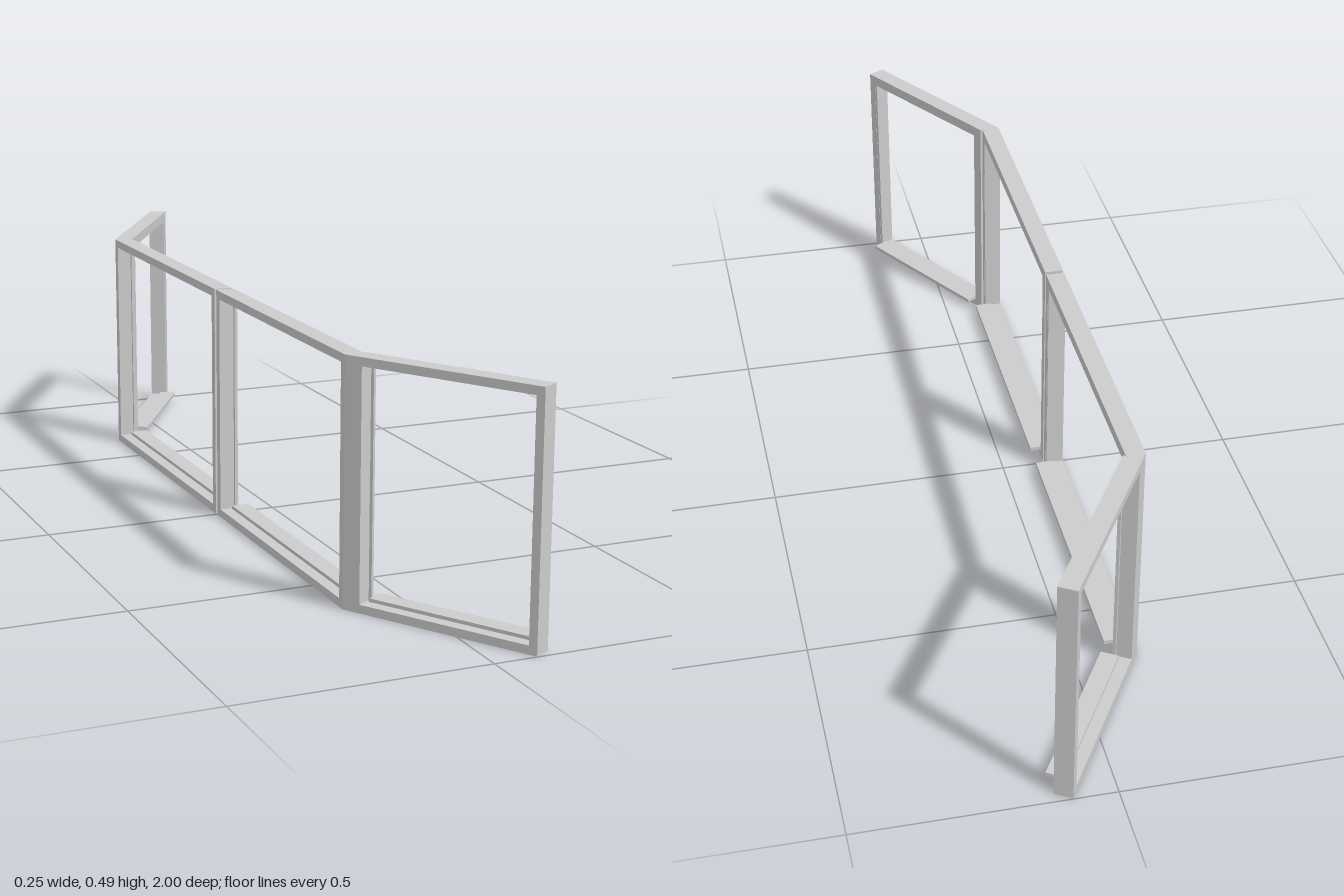
import * as THREE from 'three';

const H = 0.487;      // frame height
const DEPTH = 0.038;  // frame depth
const BAR = 0.017;    // visible bar width
const LIP = 0.006;    // extra width of the inner stop
const SILL_Y = 0.016;

const mat = new THREE.MeshStandardMaterial({ color: 0xcccccc, flatShading: true });

function rect(target, x0, y0, x1, y1) {
  target.moveTo(x0, y0);
  target.lineTo(x1, y0);
  target.lineTo(x1, y1);
  target.lineTo(x0, y1);
  target.closePath();
  return target;
}

function mesh(name, geometry) {
  const m = new THREE.Mesh(geometry, mat);
  m.name = name;
  return m;
}

// Rectangular ring of the given length, extruded from depth z0 to z1
function ring(length, inset, border, z0, z1) {
  const shape = rect(new THREE.Shape(), inset, inset, length - inset, H - inset);
  shape.holes.push(rect(new THREE.Path(), border, border, length - border, H - border));
  const g = new THREE.ExtrudeGeometry(shape, { depth: z1 - z0, bevelEnabled: false });
  return g.translate(0, 0, z0);
}

// One window panel whose outer face runs between two [x, z] points; the room is on its local +z
function panel(name, a, b) {
  const dx = b[0] - a[0], dz = b[1] - a[1];
  const length = Math.hypot(dx, dz);
  const g = new THREE.Group();
  g.name = name;
  g.add(mesh('frame', ring(length, 0, BAR, 0, DEPTH)));
  g.add(mesh('glassStop', ring(length, BAR - 0.001, BAR + LIP, DEPTH - 0.007, DEPTH - 0.0005)));

  // Thin inner sill resting on the bottom rail
  const z0 = 0.024, z1 = DEPTH + 0.023;
  const sill = new THREE.BoxGeometry(length - 2 * (BAR + 0.006), 0.008, z1 - z0);
  sill.translate(length / 2, SILL_Y + 0.004, (z0 + z1) / 2);
  g.add(mesh('sill', sill));

  g.position.set(a[0], 0, a[1]);
  g.rotation.y = Math.atan2(-dz, dx);
  return g;
}

// Wedge-shaped post closing the corner between straight and angled panels
function cornerPost(name, points, side) {
  const pts = points.map(([x, z]) => new THREE.Vector2(x, -z * side));
  const g = new THREE.ExtrudeGeometry(new THREE.Shape(pts), { depth: H, bevelEnabled: false });
  g.rotateX(-Math.PI / 2);
  return mesh(name, g);
}

export function createModel() {
  const model = new THREE.Group();
  model.name = 'bayWindow';

  const outer = -0.128, inner = outer + DEPTH;
  const corner = 0.646, gap = 0.005;
  const joint = [-0.1177, 0.663]; // where the angled panel starts
  const tip = [0.085, 0.999];     // its far end

  // Straight panels
  model.add(panel('leftStraightPanel', [outer, corner], [outer, gap]));
  model.add(panel('rightStraightPanel', [outer, -gap], [outer, -corner]));

  // Angled side panels
  model.add(panel('frontAngledPanel', tip, joint));
  model.add(panel('backAngledPanel', [joint[0], -joint[1]], [tip[0], -tip[1]]));

  // Corner posts
  const wedge = [[outer, corner], [inner, corner], joint];
  model.add(cornerPost('frontCornerPost', wedge, 1));
  model.add(cornerPost('backCornerPost', wedge, -1));

  return model;
}
